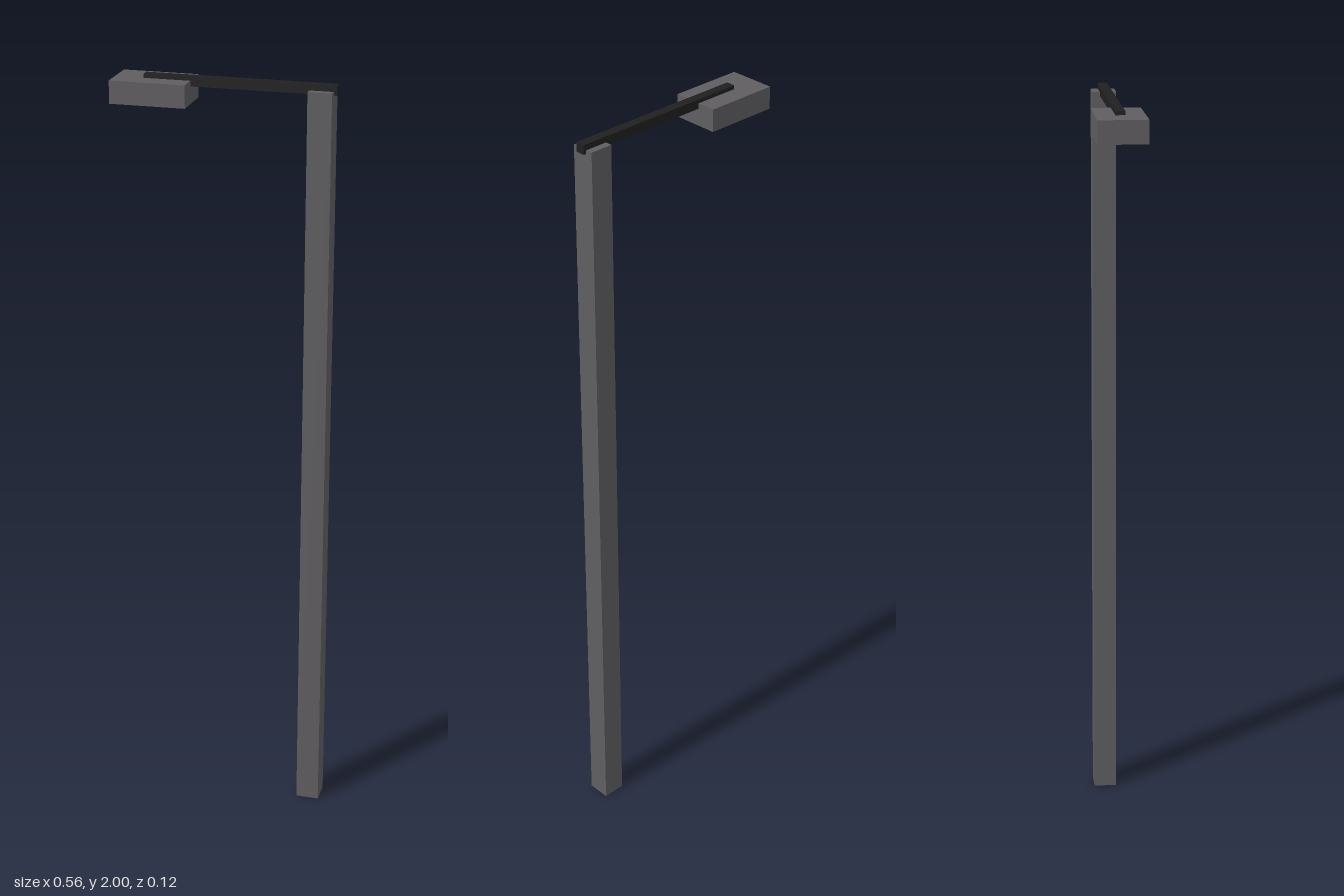
import * as THREE from 'three';

export function createModel() {
  const model = new THREE.Group();
  model.name = 'streetLamp';
  const grey = new THREE.MeshStandardMaterial({ color: 0x5f5d60 });
  const black = new THREE.MeshStandardMaterial({ color: 0x202020 });

  // Box from its extents in x and y, centred on z = 0
  function addBar(name, x0, x1, y0, y1, depth, material) {
    const bar = new THREE.Mesh(new THREE.BoxGeometry(x1 - x0, y1 - y0, depth), material);
    bar.position.set((x0 + x1) / 2, (y0 + y1) / 2, 0);
    bar.name = name;
    model.add(bar);
  }

  // Square upright post
  addBar('pole', 0.212, 0.273, 0, 1.985, 0.061, grey);
  // Thin arm lying across the post and the lamp
  addBar('arm', -0.207, 0.281, 1.976, 2, 0.024, black);
  // Flat lamp housing hung below the arm's end
  addBar('lampHead', -0.281, -0.087, 1.932, 1.99, 0.123, grey);

  return model;
}
